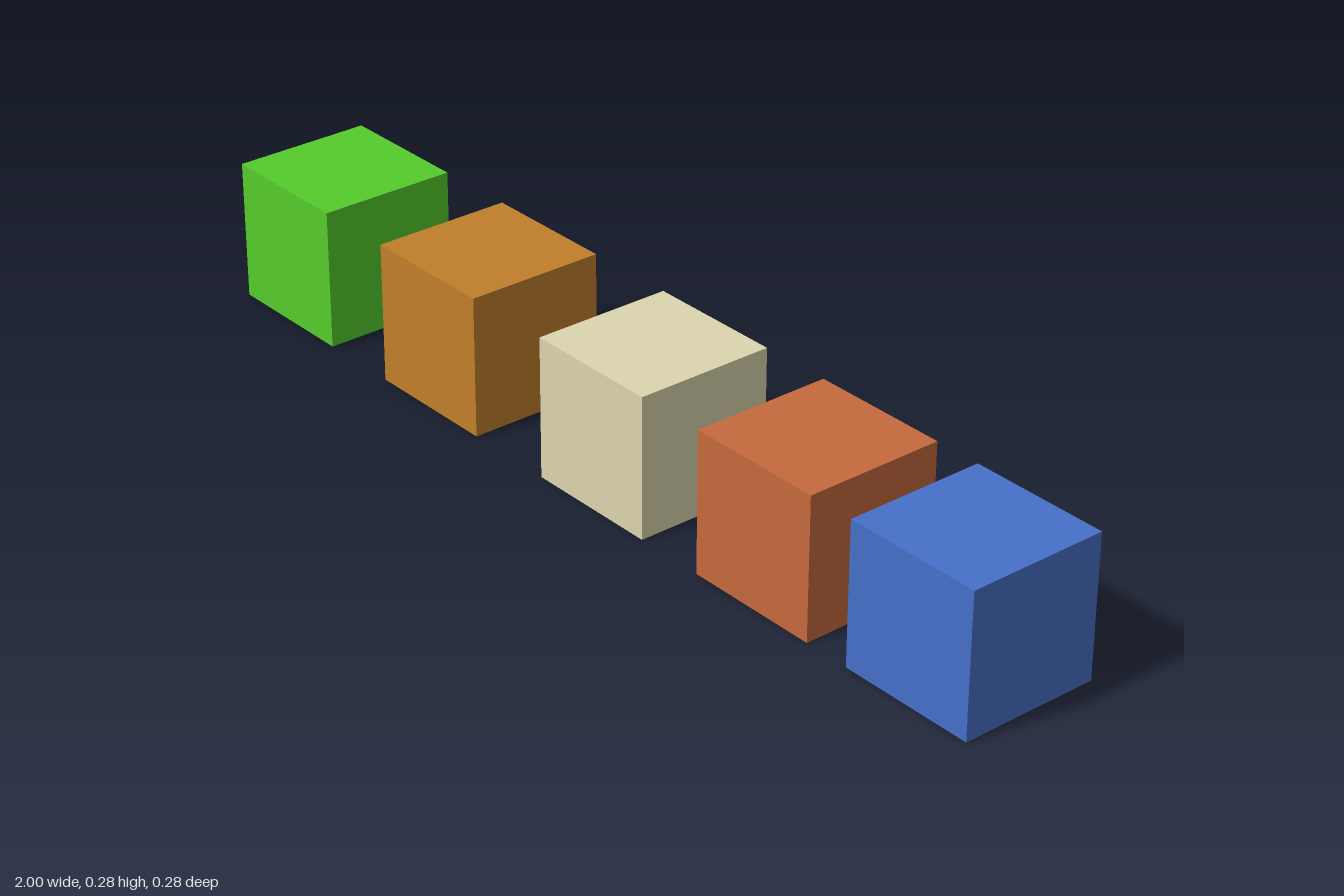
import * as THREE from 'three';

const SIZE = 0.28;

// Row of cubes: name, centre x, colour
const CUBES = [
  ['greenCube', -0.86, 0x55cc2b],
  ['orangeCube', -0.41, 0xc17f2b],
  ['creamCube', 0.06, 0xdcd6af],
  ['terracottaCube', 0.485, 0xc66a3d],
  ['blueCube', 0.86, 0x4670c9],
];

export function createModel() {
  const group = new THREE.Group();
  group.name = 'cubeRow';
  const geometry = new THREE.BoxGeometry(SIZE, SIZE, SIZE);
  for (const [name, x, color] of CUBES) {
    const cube = new THREE.Mesh(geometry, new THREE.MeshStandardMaterial({ color }));
    cube.name = name;
    cube.position.set(x, SIZE / 2, 0);
    group.add(cube);
  }
  return group;
}
